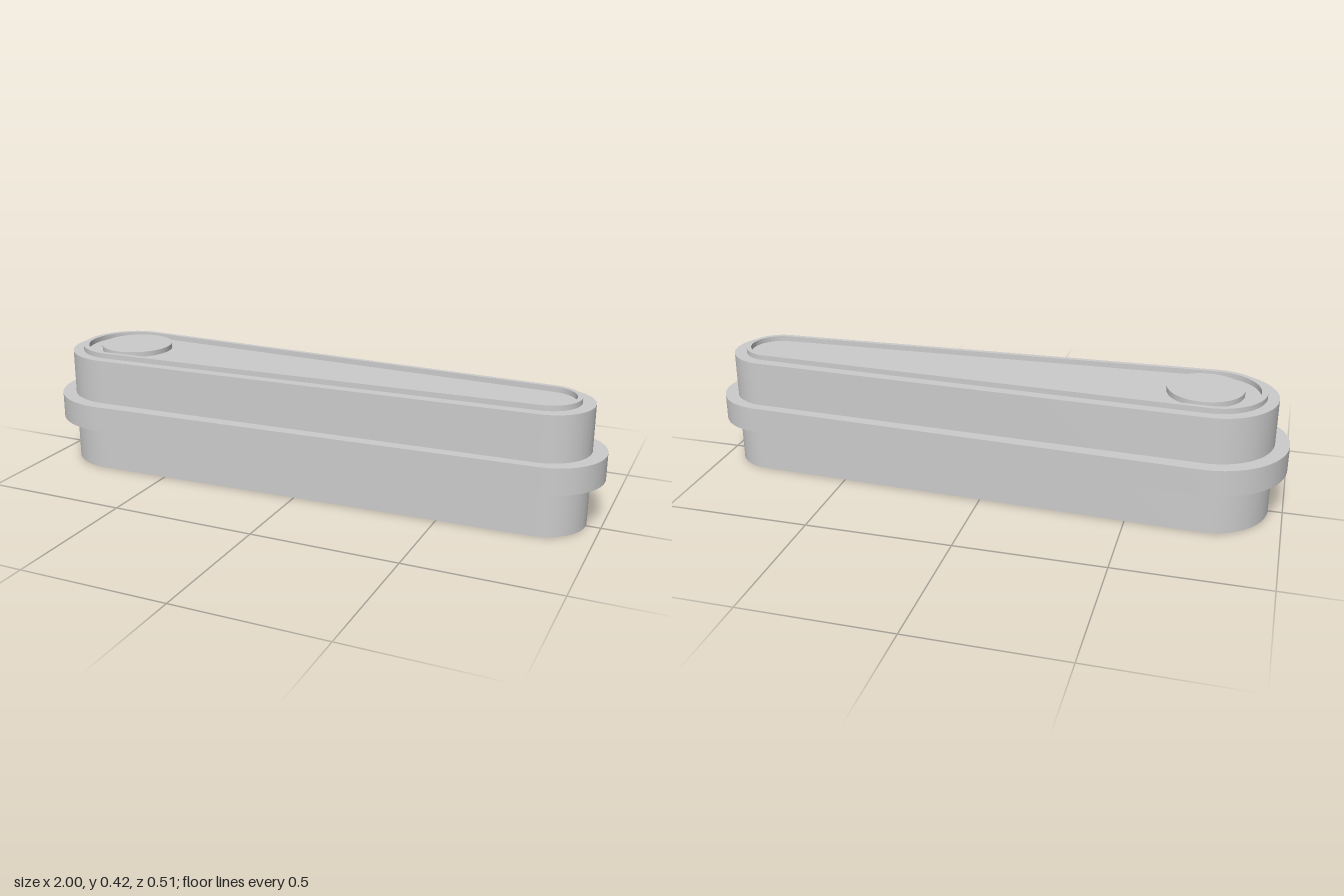
import * as THREE from 'three';
import { toCreasedNormals } from 'three/addons/utils/BufferGeometryUtils.js';

const material = new THREE.MeshStandardMaterial({ color: 0xcccccc });

// Tapered capsule outline: a large round end at x1 and a small one at x2, joined by tangents
function trace(path, x1, R, x2, r) {
  const a = Math.acos((R - r) / (x2 - x1));
  path.absarc(x2, 0, r, -a, a, false);
  path.absarc(x1, 0, R, a, 2 * Math.PI - a, false);
  path.closePath();
  return path;
}

// Upright slab from y0 to y1, optionally hollow
function slab(name, outer, y0, y1, inner) {
  const shape = trace(new THREE.Shape(), ...outer);
  if (inner) shape.holes.push(trace(new THREE.Path(), ...inner));
  const geometry = new THREE.ExtrudeGeometry(shape, { depth: y1 - y0, bevelEnabled: false, curveSegments: 32 });
  geometry.rotateX(-Math.PI / 2).translate(0, y0, 0);
  const mesh = new THREE.Mesh(toCreasedNormals(geometry, 0.6), material);
  mesh.name = name;
  return mesh;
}

export function createModel() {
  const group = new THREE.Group();
  group.name = 'taperedHousing';

  // Main body, the flange around its middle and the thin raised rim on top
  group.add(
    slab('body', [-0.746, 0.206, 0.804, 0.148], 0, 0.403),
    slab('flange', [-0.746, 0.254, 0.816, 0.184], 0.158, 0.247),
    slab('topRim', [-0.744, 0.17, 0.798, 0.111], 0.403, 0.421, [-0.741, 0.153, 0.798, 0.095])
  );

  // Round button inside the rim at the wide end
  const button = new THREE.Mesh(new THREE.CylinderGeometry(0.126, 0.126, 0.018, 64), material);
  button.position.set(-0.716, 0.412, 0);
  button.name = 'button';
  group.add(button);

  return group;
}
